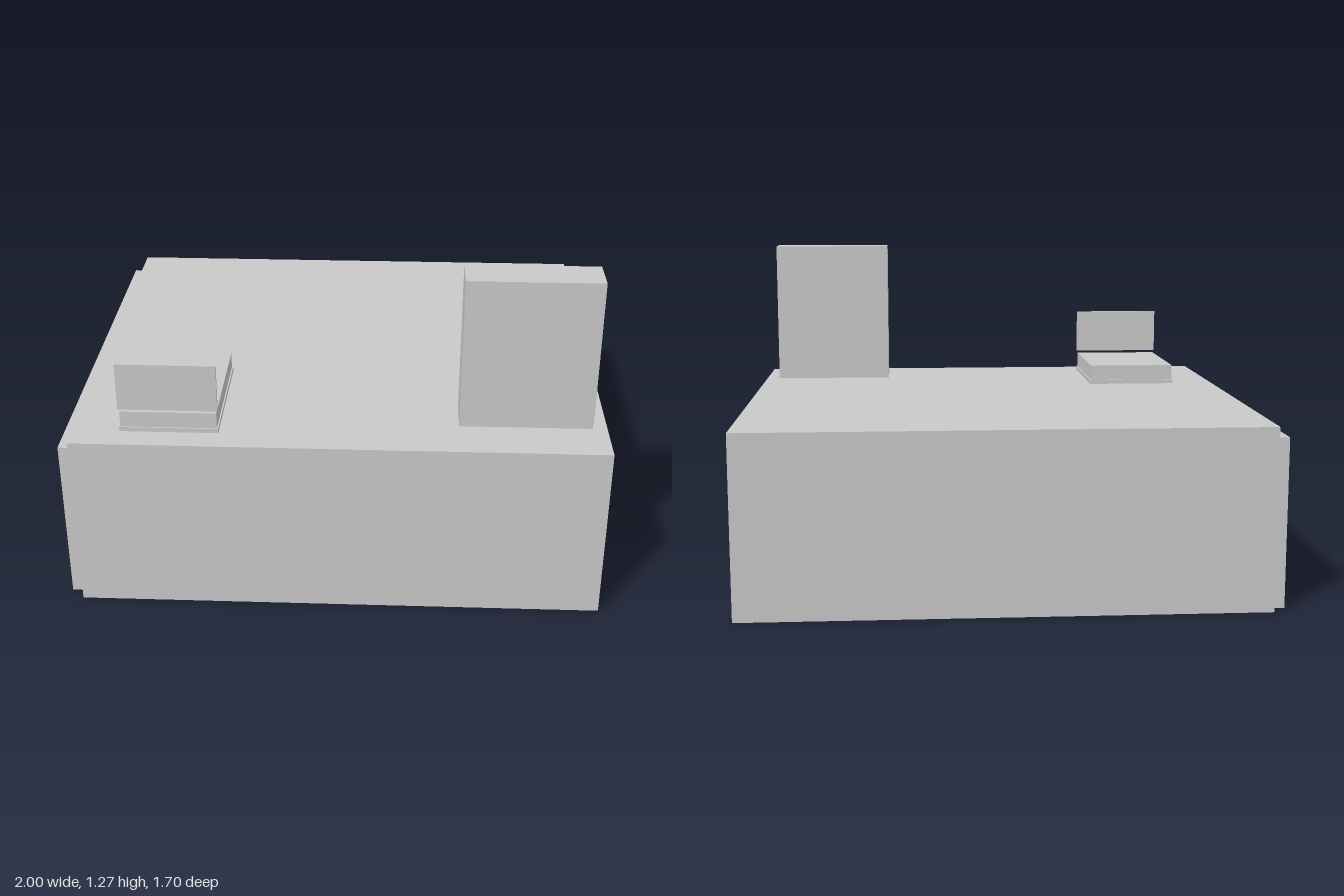
import * as THREE from 'three';

export function createModel() {
  const model = new THREE.Group();
  model.name = 'serviceCounter';
  const grey = new THREE.MeshStandardMaterial({ color: 0xc8c8c8 });
  grey.name = 'plain grey';

  // Box given by its extents along each axis
  const box = (name, [x0, x1], [y0, y1], [z0, z1], parent = model) => {
    const mesh = new THREE.Mesh(new THREE.BoxGeometry(x1 - x0, y1 - y0, z1 - z0), grey);
    mesh.position.set((x0 + x1) / 2, (y0 + y1) / 2, (z0 + z1) / 2);
    mesh.name = name;
    parent.add(mesh);
    return mesh;
  };

  const top = 0.683, under = 0.636, outer = 0.852, inner = 0.805;

  // Counter: hollow, open underneath, end panels offset towards -x
  const counter = new THREE.Group();
  counter.name = 'counter';
  model.add(counter);
  box('counterTop', [-0.95, 1], [under, top], [-outer, outer], counter);
  box('frontPanel', [-0.95, 1], [0, under], [inner, outer], counter);
  box('backPanel', [-0.95, 1], [0, under], [-outer, -inner], counter);
  box('rightEndPanel', [-1, -0.95], [0, under], [-inner, inner], counter);
  box('leftEndPanel', [0.903, 0.95], [0, under], [-inner, inner], counter);

  // Till with a wider base and a floating customer display
  const till = new THREE.Group();
  till.name = 'till';
  model.add(till);
  box('tillBase', [-0.78, -0.417], [top, 0.7], [0.268, 0.757], till);
  box('tillBody', [-0.775, -0.422], [0.7, 0.762], [0.273, 0.752], till);
  box('tillDisplay', [-0.78, -0.417], [0.773, 0.956], [0.743, 0.757], till);

  // Upright cabinet on a recessed plinth, with a fine seam between its doors
  const cabinet = new THREE.Group();
  cabinet.name = 'cabinet';
  model.add(cabinet);
  box('cabinetPlinth', [0.459, 0.946], [top, 0.709], [0.536, 0.67], cabinet);
  box('cabinetBody', [0.459, 0.946], [0.709, 1.27], [0.536, 0.683], cabinet);
  box('doorSeam', [0.7, 0.706], [0.709, 1.27], [0.683, 0.684], cabinet);

  return model;
}
